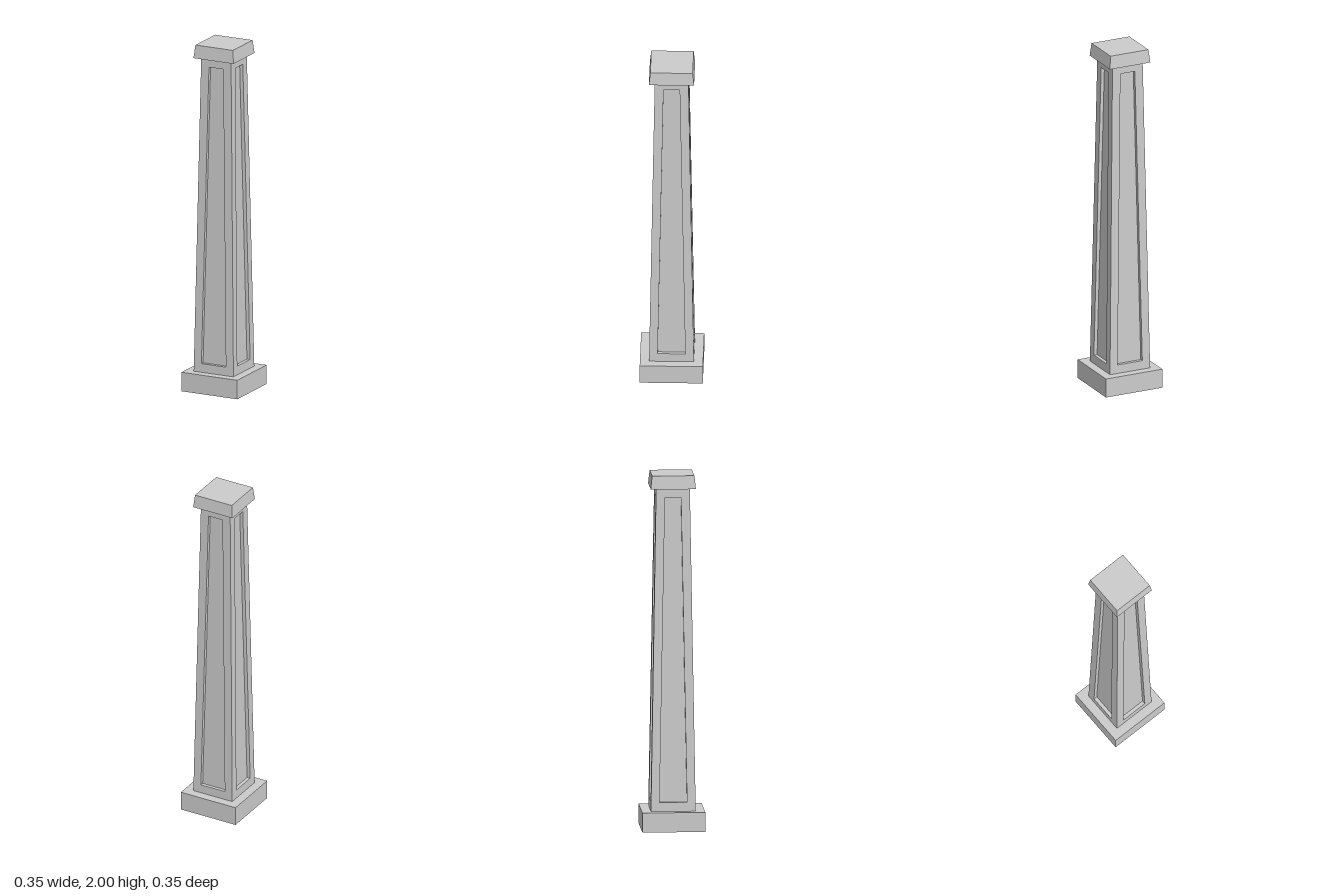
import * as THREE from 'three';

const material = new THREE.MeshStandardMaterial({ color: 0xcccccc, flatShading: true });

const SHAFT = { y0: 0.11, y1: 1.925, h0: 0.125, h1: 0.094 };
const PANEL = { y0: 0.16, y1: 1.875, h0: 0.077, h1: 0.045, depth: 0.02 };

// Square block whose half-width changes from bottom to top
function taperedBlock(name, y0, y1, h0, h1) {
  const geometry = new THREE.BoxGeometry(2, y1 - y0, 2);
  geometry.translate(0, (y0 + y1) / 2, 0);
  const p = geometry.attributes.position;
  for (let i = 0; i < p.count; i++) {
    const h = p.getY(i) > (y0 + y1) / 2 ? h1 : h0;
    p.setX(i, p.getX(i) * h);
    p.setZ(i, p.getZ(i) * h);
  }
  geometry.computeVertexNormals();
  const mesh = new THREE.Mesh(geometry, material);
  mesh.name = name;
  return mesh;
}

// One sloping shaft side: flat border, reveal walls and sunken panel
function shaftSideGeometry() {
  const faceZ = (y) =>
    THREE.MathUtils.mapLinear(y, SHAFT.y0, SHAFT.y1, SHAFT.h0, SHAFT.h1);
  const ring = ({ y0, y1, h0, h1 }, depth) =>
    [[-h0, y0], [h0, y0], [h1, y1], [-h1, y1]].map(([x, y]) => [x, y, faceZ(y) - depth]);
  const rings = [ring(SHAFT, 0), ring(PANEL, 0), ring(PANEL, PANEL.depth)];

  const positions = [];
  const quad = (a, b, c, d) => positions.push(...a, ...b, ...c, ...a, ...c, ...d);
  for (let r = 0; r < 2; r++) {
    for (let i = 0; i < 4; i++) {
      const j = (i + 1) % 4;
      quad(rings[r][i], rings[r][j], rings[r + 1][j], rings[r + 1][i]);
    }
  }
  quad(...rings[2]);

  const geometry = new THREE.BufferGeometry();
  geometry.setAttribute('position', new THREE.Float32BufferAttribute(positions, 3));
  geometry.computeVertexNormals();
  return geometry;
}

export function createModel() {
  const column = new THREE.Group();
  column.name = 'column';

  // Plinth and flared cap
  column.add(taperedBlock('base', 0, 0.11, 0.176, 0.176));
  column.add(taperedBlock('cap', 1.925, 2, 0.126, 0.118));

  // Tapered shaft with a recessed panel on each side
  const shaft = new THREE.Group();
  shaft.name = 'shaft';
  const geometry = shaftSideGeometry();
  ['front', 'left', 'back', 'right'].forEach((side, i) => {
    const mesh = new THREE.Mesh(geometry, material);
    mesh.name = `${side}ShaftPanel`;
    mesh.rotation.y = (i * Math.PI) / 2;
    shaft.add(mesh);
  });
  column.add(shaft);

  return column;
}
